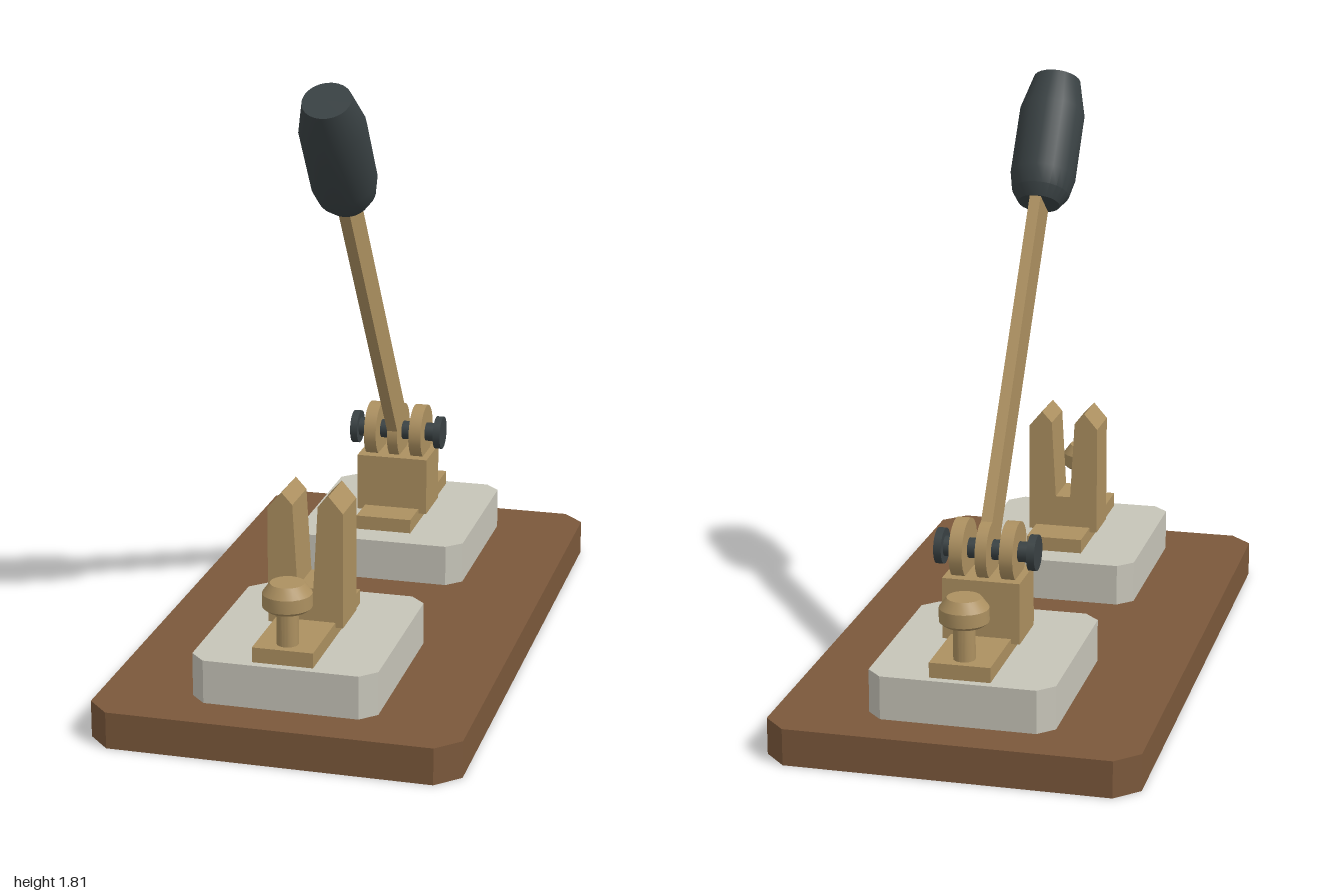
import * as THREE from 'three';
import { toCreasedNormals } from 'three/addons/utils/BufferGeometryUtils.js';

const wood = new THREE.MeshStandardMaterial({ color: 0x7b583b });
const stone = new THREE.MeshStandardMaterial({ color: 0xc6c4b8 });
const brass = new THREE.MeshStandardMaterial({ color: 0xac9060 });
const black = new THREE.MeshStandardMaterial({ color: 0x394143 });

function add(parent, name, geometry, material, x = 0, y = 0, z = 0) {
  const mesh = new THREE.Mesh(geometry, material);
  mesh.name = name;
  mesh.position.set(x, y, z);
  parent.add(mesh);
  return mesh;
}

function shapeOf(points) {
  return new THREE.Shape(points.map(([x, y]) => new THREE.Vector2(x, y)));
}

// Slab with cut corners, lying flat with its underside at y = 0
function slab(width, length, height, cut) {
  const w = width / 2, l = length / 2;
  const shape = shapeOf([
    [-w + cut, -l], [w - cut, -l], [w, -l + cut], [w, l - cut],
    [w - cut, l], [-w + cut, l], [-w, l - cut], [-w, -l + cut],
  ]);
  return new THREE.ExtrudeGeometry(shape, { depth: height, bevelEnabled: false }).rotateX(-Math.PI / 2);
}

function lathe(points, segments = 24) {
  const profile = points.map(([r, y]) => new THREE.Vector2(r, y));
  return toCreasedNormals(new THREE.LatheGeometry(profile, segments), Math.PI / 7);
}

// Cylinder lying along x
function disc(radius, width) {
  return new THREE.CylinderGeometry(radius, radius, width, 24).rotateZ(Math.PI / 2);
}

export function createModel() {
  const model = new THREE.Group();
  model.name = 'knifeSwitch';
  add(model, 'baseBoard', slab(1.09, 2, 0.11, 0.068), wood);

  // Matching insulator, contact plate and terminal at each end
  for (const [end, side] of [['front', 1], ['rear', -1]]) {
    add(model, end + 'Insulator', slab(0.55, 0.64, 0.13, 0.046), stone, 0, 0.11, side * 0.545);
    add(model, end + 'Plate', new THREE.BoxGeometry(0.18, 0.045, 0.52), brass, 0, 0.2625, side * 0.58);
    const terminal = lathe([
      [0, 0], [0.032, 0], [0.032, 0.105], [0.06, 0.105], [0.072, 0.115],
      [0.072, 0.155], [0.05, 0.185], [0, 0.185],
    ]);
    add(model, end + 'Terminal', terminal, brass, 0, 0.285, side * 0.785);
  }

  // Contact jaws with pointed tips and a tapering slot
  const half = [[0.024, 0.385], [0.038, 0.635], [0.07, 0.67], [0.113, 0.62], [0.113, 0.27]];
  const jaws = shapeOf([...half, ...half.map(([x, y]) => [-x, y]).reverse()]);
  add(model, 'contactJaws', new THREE.ExtrudeGeometry(jaws, { depth: 0.15, bevelEnabled: false }),
    brass, 0, 0, 0.45);

  // Hinge block, ears and bolt
  const hinge = new THREE.Group();
  hinge.name = 'hinge';
  hinge.position.set(0, 0.525, -0.52);
  model.add(hinge);
  add(hinge, 'hingeBlock', new THREE.BoxGeometry(0.232, 0.185, 0.172), brass, 0, -0.1625, 0.002);
  add(hinge, 'hingeBolt', disc(0.03, 0.28), black);
  for (const side of [-1, 1]) {
    add(hinge, 'hingeEar', disc(0.088, 0.04), brass, side * 0.075);
    add(hinge, 'boltHead', disc(0.053, 0.023), black, side * 0.139);
  }

  // Swinging blade with its grip, tilted towards the front
  const lever = new THREE.Group();
  lever.name = 'lever';
  lever.rotation.x = THREE.MathUtils.degToRad(35);
  hinge.add(lever);
  add(lever, 'bladeEye', disc(0.088, 0.034), brass);
  add(lever, 'blade', new THREE.BoxGeometry(0.034, 1.13, 0.118), brass, 0, 0.565, 0);
  const grip = lathe([
    [0, 1.1], [0.064, 1.1], [0.088, 1.135], [0.1, 1.19], [0.1, 1.41], [0.073, 1.519], [0, 1.519],
  ]);
  add(lever, 'grip', grip, black);

  return model;
}
